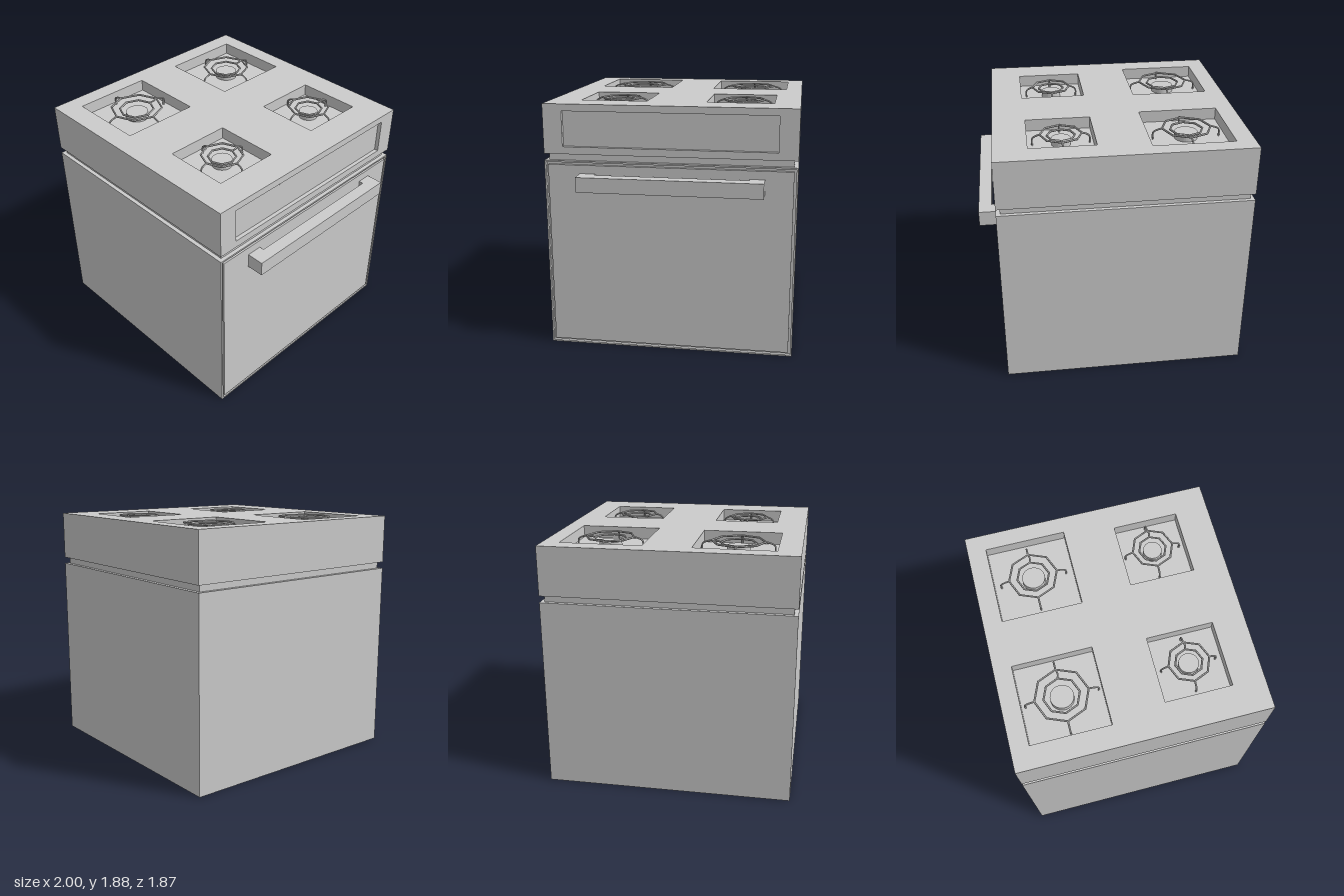
import * as THREE from 'three';

const material = new THREE.MeshStandardMaterial({ color: 0xcccccc, flatShading: true });

function add(parent, name, geometry) {
  const mesh = new THREE.Mesh(geometry, material);
  mesh.name = name;
  parent.add(mesh);
  return mesh;
}

// Box given by its minimum and maximum corners
function box(parent, name, [x0, y0, z0], [x1, y1, z1]) {
  const mesh = add(parent, name, new THREE.BoxGeometry(x1 - x0, y1 - y0, z1 - z0));
  mesh.position.set((x0 + x1) / 2, (y0 + y1) / 2, (z0 + z1) / 2);
  return mesh;
}

function rect(a0, b0, a1, b1, Type = THREE.Shape) {
  const p = new Type();
  p.moveTo(a0, b0).lineTo(a1, b0).lineTo(a1, b1).lineTo(a0, b1).closePath();
  return p;
}

// Rectangular plate with rectangular holes, extruded along z
function plate(outer, holes, depth) {
  const shape = rect(...outer);
  shape.holes = holes.map((h) => rect(...h, THREE.Path));
  return new THREE.ExtrudeGeometry(shape, { depth, bevelEnabled: false });
}

// Frame on the +x side: shape coordinates are (-z, y)
function sideFrame(parent, name, outer, hole, x, depth) {
  const g = plate(outer, [hole], depth).rotateY(Math.PI / 2);
  add(parent, name, g).position.x = x;
}

const X0 = -1, X1 = 0.87, Z = 0.933, TOP = 1.875, FLOOR = 1.785;

// Wells: x0, z0, x1, z1, burner centre, grate reach, outer ring, inner ring, cap radius
const wells = [
  { r: [-0.86, -0.805, -0.255, -0.195], c: [-0.56, -0.505], reach: 0.255, outer: 0.183, inner: 0.122, cap: 0.086 },
  { r: [0.13, -0.742, 0.62, -0.245], c: [0.37, -0.505], reach: 0.217, outer: 0.155, inner: 0.104, cap: 0.071 },
  { r: [-0.865, 0.165, -0.27, 0.765], c: [-0.565, 0.463], reach: 0.275, outer: 0.198, inner: 0.133, cap: 0.087 },
  { r: [0.13, 0.2, 0.63, 0.7], c: [0.38, 0.447], reach: 0.21, outer: 0.153, inner: 0.102, cap: 0.075 },
];

// Burner cap with an eight-sided pan support on four hooked arms
function burner({ c, reach, outer, inner, cap }) {
  const g = new THREE.Group();
  g.name = 'burner';
  g.position.set(c[0], FLOOR, c[1]);
  add(g, 'burnerCap', new THREE.CylinderGeometry(cap, cap, 0.05, 32)).position.y = 0.025;

  [[outer, 0.082, 'outerRing'], [inner, 0.07, 'innerRing']].forEach(([r, y, name]) => {
    add(g, name, new THREE.TorusGeometry(r, 0.008, 6, 8).rotateX(Math.PI / 2)).position.y = y;
  });

  const arm = new THREE.CatmullRomCurve3([
    [outer, 0.082], [outer + (reach - outer) * 0.35, 0.076],
    [reach - 0.012, 0.06], [reach - 0.004, 0.04], [reach - 0.006, 0],
  ].map(([x, y]) => new THREE.Vector3(x, y, 0)));
  for (let i = 0; i < 4; i++) {
    add(g, 'supportArm', new THREE.TubeGeometry(arm, 14, 0.007, 6)).rotation.y = i * Math.PI / 2;
  }

  // Link between the two rings at the back
  const link = new THREE.CatmullRomCurve3([
    new THREE.Vector3(0, 0.082, -outer),
    new THREE.Vector3(0.008, 0.078, -(outer + inner) / 2),
    new THREE.Vector3(0, 0.07, -inner),
  ]);
  add(g, 'ringLink', new THREE.TubeGeometry(link, 6, 0.007, 6));
  return g;
}

export function createModel() {
  const model = new THREE.Group();
  model.name = 'stove';

  // Oven body, with a fine groove around the door on the +x side
  const groove = 0.025, bodyTop = 1.455;
  box(model, 'ovenBody', [X0, 0, -Z], [X1 - groove, bodyTop, Z]);
  sideFrame(model, 'doorSurround', [-Z, 0, Z, bodyTop],
    [-Z + 0.013, 0.012, Z - 0.013, bodyTop - 0.012], X1 - groove, groove);
  box(model, 'ovenDoor', [X1 - groove, 0.03, -Z + 0.028], [X1, bodyTop - 0.03, Z - 0.028]);

  // Recessed neck between body and cooktop
  box(model, 'neck', [X0 + 0.03, bodyTop, -Z + 0.03], [X1 - 0.03, 1.505, Z - 0.03]);

  // Cooktop: solid base, pierced top plate, recessed control panel
  const panel = 0.03;
  box(model, 'cooktopBase', [X0, 1.505, -Z], [X1 - panel, FLOOR, Z]);
  const top = plate([X0, -Z, X1 - panel, Z],
    wells.map(({ r }) => [r[0], -r[3], r[2], -r[1]]), TOP - FLOOR).rotateX(-Math.PI / 2);
  add(model, 'cooktopPlate', top).position.y = FLOOR;
  sideFrame(model, 'controlPanelFrame', [-Z, 1.505, Z, TOP], [-0.79, 1.56, 0.79, 1.823], X1 - panel, panel);

  wells.forEach((w) => model.add(burner(w)));

  // Door handle
  const handle = new THREE.Group();
  handle.name = 'doorHandle';
  box(handle, 'handleBar', [0.905, 1.25, -0.7], [1, 1.362, 0.665]);
  [[-0.7, -0.59], [0.55, 0.665]].forEach(([a, b]) => {
    box(handle, 'handlePost', [X1, 1.25, a], [0.905, 1.362, b]);
  });
  model.add(handle);

  return model;
}
